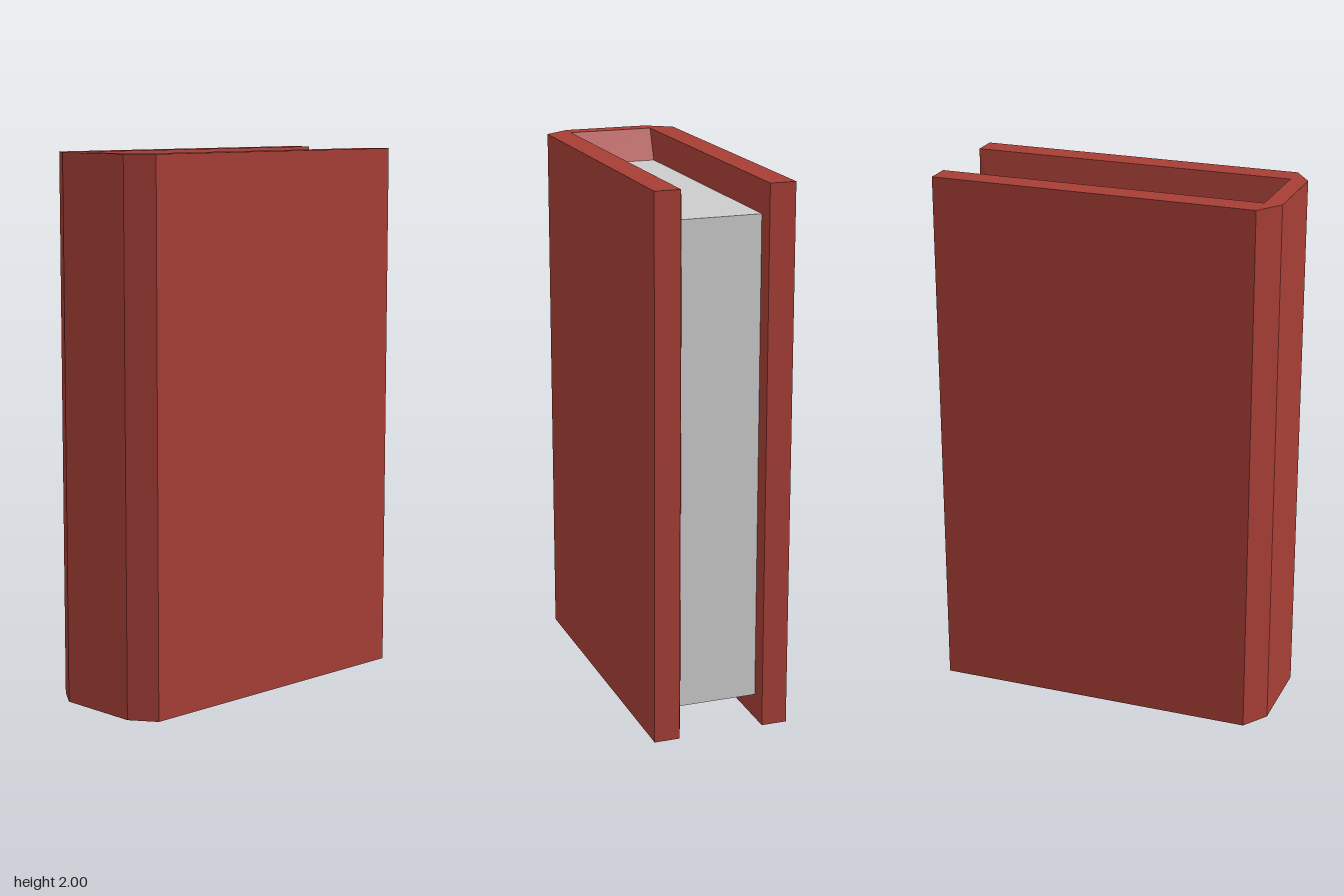
import * as THREE from 'three';

const HEIGHT = 2, RECESS = 0.11, BACK = -0.635;
const PAGE = { x: 0.145, back: -0.6, front: 0.485 };

// Builds the hollow cover by joining U-shaped rings, skipping the wall hidden by the pages.
function coverGeometry() {
  const mirror = (half) => [...half, ...half.map(([x, z]) => [-x, z]).reverse()];
  const outer = mirror([[-0.255, BACK], [-0.255, 0.57], [-0.16, 0.635]]);
  const rim = mirror([[-0.16, BACK], [-0.16, 0.57], [-0.16, 0.57]]);
  const inner = mirror([[-PAGE.x, PAGE.back], [-PAGE.x, PAGE.front], [-PAGE.x, PAGE.front]]);
  const ring = (path, y) => path.map(([x, z]) => new THREE.Vector3(x, y, z));

  const rings = [
    ring(inner, RECESS), ring(rim, 0), ring(outer, 0),
    ring(outer, HEIGHT), ring(rim, HEIGHT), ring(inner, HEIGHT - RECESS),
  ];
  const points = [];
  const tri = (a, b, c) => {
    if (a.equals(b) || b.equals(c) || a.equals(c)) return;
    points.push(...a.toArray(), ...b.toArray(), ...c.toArray());
  };
  const quad = (a, b, c, d) => { tri(a, b, c); tri(a, c, d); };

  for (let r = 0; r < rings.length - 1; r++) {
    const lo = rings[r], hi = rings[r + 1];
    for (let i = 0; i < lo.length - 1; i++) quad(lo[i], lo[i + 1], hi[i + 1], hi[i]);
  }

  // Back edges of both boards and their bevels towards the pages
  const [innerLow, rimLow, outerLow, outerHigh, rimHigh, innerHigh] = rings;
  const last = outer.length - 1;
  for (const [a, b, c, d] of [[outerLow, outerHigh, rimHigh, rimLow], [rimLow, rimHigh, innerHigh, innerLow]]) {
    quad(a[0], b[0], c[0], d[0]);
    quad(d[last], c[last], b[last], a[last]);
  }

  const geometry = new THREE.BufferGeometry();
  geometry.setAttribute('position', new THREE.Float32BufferAttribute(points, 3));
  geometry.computeVertexNormals();
  return geometry;
}

export function createModel() {
  const group = new THREE.Group();
  group.name = 'book';

  // Cover with bevelled spine
  const cover = new THREE.Mesh(
    coverGeometry(),
    new THREE.MeshStandardMaterial({ color: 0xa63e36, flatShading: true })
  );
  cover.name = 'cover';

  // Page block, recessed at top, bottom and back
  const pages = new THREE.Mesh(
    new THREE.BoxGeometry(PAGE.x * 2, HEIGHT - RECESS * 2, PAGE.front - PAGE.back),
    new THREE.MeshStandardMaterial({ color: 0xcccccc, flatShading: true })
  );
  pages.name = 'pages';
  pages.position.set(0, HEIGHT / 2, (PAGE.front + PAGE.back) / 2);

  group.add(cover, pages);
  return group;
}
